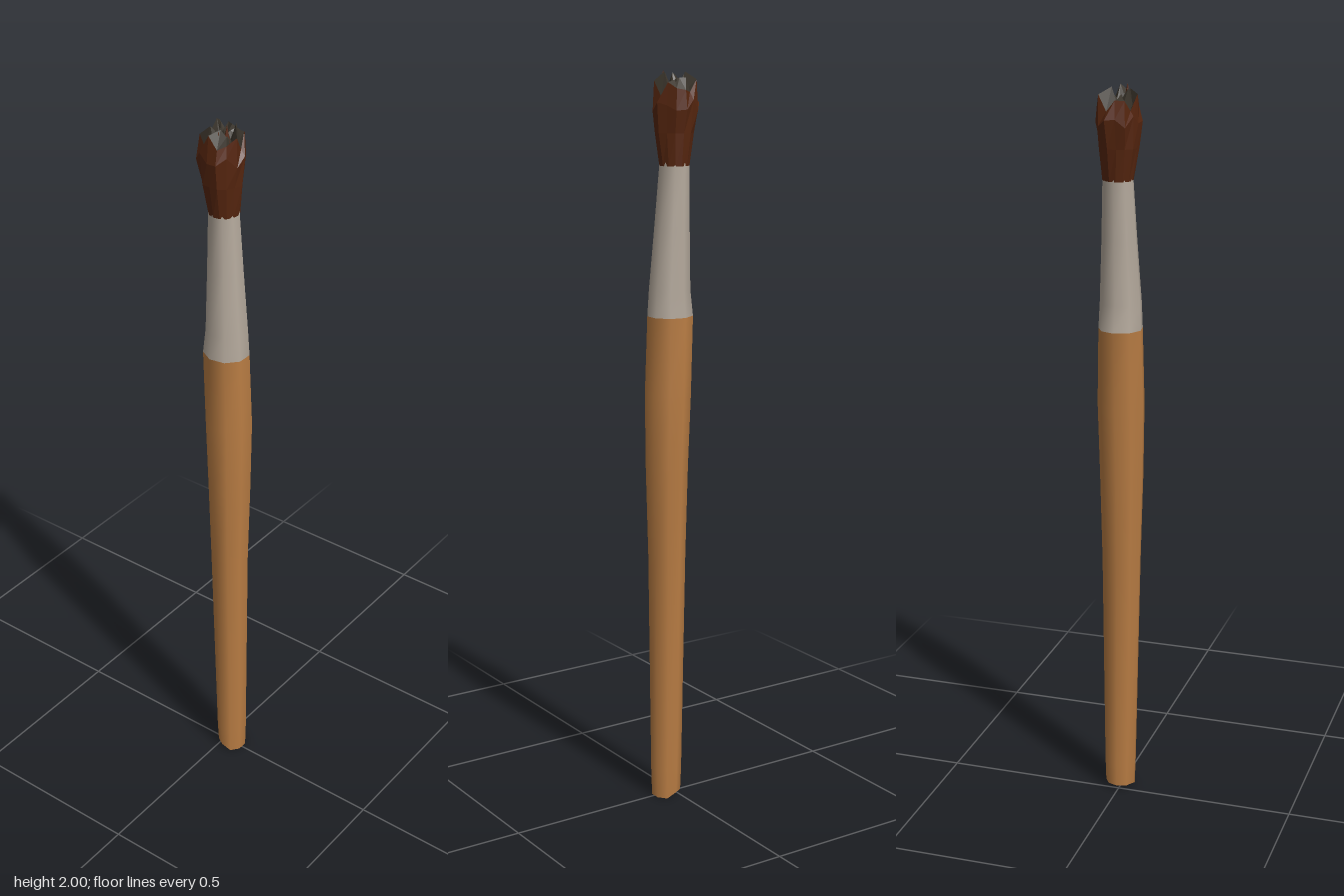
import * as THREE from 'three';

const mat = (name, color) => {
  const m = new THREE.MeshStandardMaterial({ color });
  m.name = name;
  return m;
};

// Ring of n points fitted to x and z extents; jag(i) gives [radius factor, height offset]
function ring(n, y, x0, x1, z0, z1, jag = () => [1, 0]) {
  return Array.from({ length: n }, (_, i) => {
    const a = Math.PI / 6 + (i / n) * Math.PI * 2;
    const [k, dy] = jag(i);
    return [
      (x0 + x1) / 2 + (k * Math.cos(a) * (x1 - x0)) / 2,
      y + dy,
      (z0 + z1) / 2 + (k * Math.sin(a) * (z1 - z0)) / 2,
    ];
  });
}

// Skin a stack of rings, with optional end caps on their own vertices
function loft(rings, { bottom = false, top = false, flat = false } = {}) {
  const n = rings[0].length, pos = [], index = [];
  rings.forEach((r) => r.forEach((p) => pos.push(...p)));
  for (let r = 0; r < rings.length - 1; r++) {
    for (let i = 0; i < n; i++) {
      const a = r * n + i, b = r * n + ((i + 1) % n);
      index.push(a, a + n, b, b, a + n, b + n);
    }
  }
  const cap = (pts, up) => {
    const s = pos.length / 3;
    const c = [0, 1, 2].map((k) => pts.reduce((t, p) => t + p[k], 0) / n);
    pts.forEach((p) => pos.push(...p));
    pos.push(...c);
    for (let i = 0; i < n; i++) {
      const j = s + ((i + 1) % n);
      if (up) index.push(s + n, j, s + i);
      else index.push(s + n, s + i, j);
    }
  };
  if (bottom) cap(rings[0], false);
  if (top) cap(rings[rings.length - 1], true);
  let g = new THREE.BufferGeometry();
  g.setAttribute('position', new THREE.Float32BufferAttribute(pos, 3));
  g.setIndex(index);
  if (flat) g = g.toNonIndexed();
  g.computeVertexNormals();
  return g;
}

export function createModel() {
  const wood = mat('wood', 0xb87c43);
  const metal = mat('metal', 0xb3a89b);
  const bristle = mat('bristle brown', 0x57260f);
  const paint = mat('dark bristle tips', 0x3b352c);

  const group = new THREE.Group();
  group.name = 'paintbrush';
  const add = (name, geometry, material) => {
    const mesh = new THREE.Mesh(geometry, material);
    mesh.name = name;
    group.add(mesh);
  };

  // Handle: slender at the foot, swelling below the ferrule
  const handle = [
    [0.01, -0.04, 0.044, -0.013, 0.066],
    [0.08, -0.043, 0.046, -0.016, 0.068],
    [0.7, -0.057, 0.051, -0.03, 0.071],
    [0.95, -0.064, 0.057, -0.037, 0.077],
    [1.15, -0.067, 0.062, -0.045, 0.079],
    [1.36, -0.063, 0.056, -0.054, 0.071],
  ].map((r, k) => ring(9, ...r, k ? undefined : (i) => [1, i < 4 ? -0.01 : 0.004]));
  add('handle', loft(handle, { bottom: true, top: true }), wood);

  // Ferrule: tapered sleeve with a slight flare at its lower back edge
  const ferrule = [
    [1.36, -0.063, 0.056, -0.054, 0.071],
    [1.43, -0.06, 0.053, -0.045, 0.066],
    [1.6, -0.049, 0.046, -0.043, 0.051],
    [1.765, -0.04, 0.041, -0.042, 0.037],
  ].map((r) => ring(9, ...r));
  add('ferrule', loft(ferrule, { top: true }), metal);

  // Bristle clump: flares out, then closes into a ragged rim
  const n = 14;
  const wave = (i, s) => Math.sin(i * 2.4 + s);
  const rim = ring(n, 1.955, -0.056, 0.057, -0.06, 0.05,
    (i) => [0.93 + 0.1 * wave(i, 1), 0.022 * wave(i, 0)]);
  const clump = [
    ring(n, 1.755, -0.04, 0.041, -0.042, 0.037),
    ring(n, 1.84, -0.055, 0.049, -0.057, 0.048, (i) => [0.98 + 0.05 * wave(i, 3), 0]),
    ring(n, 1.91, -0.063, 0.06, -0.072, 0.057,
      (i) => [0.95 + 0.07 * wave(i, 2), 0.015 * wave(i, 4)]),
    rim,
  ];
  add('bristles', loft(clump, { flat: true }), bristle);

  // Dark ragged crown inside the rim
  const crown = [
    rim,
    ring(n, 1.972, -0.038, 0.036, -0.037, 0.034,
      (i) => [0.95 + 0.15 * wave(i, 5), 0.024 * wave(i, 3)]),
    ring(n, 1.958, -0.016, 0.016, -0.017, 0.015, (i) => [1, 0.015 * wave(i, 1)]),
  ];
  add('bristleTips', loft(crown, { top: true, flat: true }), paint);

  // Loose tufts standing out of the crown
  [
    [-0.018, 0.02, 2.0, bristle], [-0.035, 0.008, 1.985, bristle],
    [0.012, -0.022, 1.99, paint], [0.03, 0.012, 1.987, paint],
  ].forEach(([x, z, tip, material], k) => {
    const cone = new THREE.ConeGeometry(0.013, 0.06, 4).toNonIndexed();
    cone.computeVertexNormals();
    cone.rotateY(k);
    cone.translate(x, tip - 0.03, z);
    add('tuft', cone, material);
  });

  return group;
}
